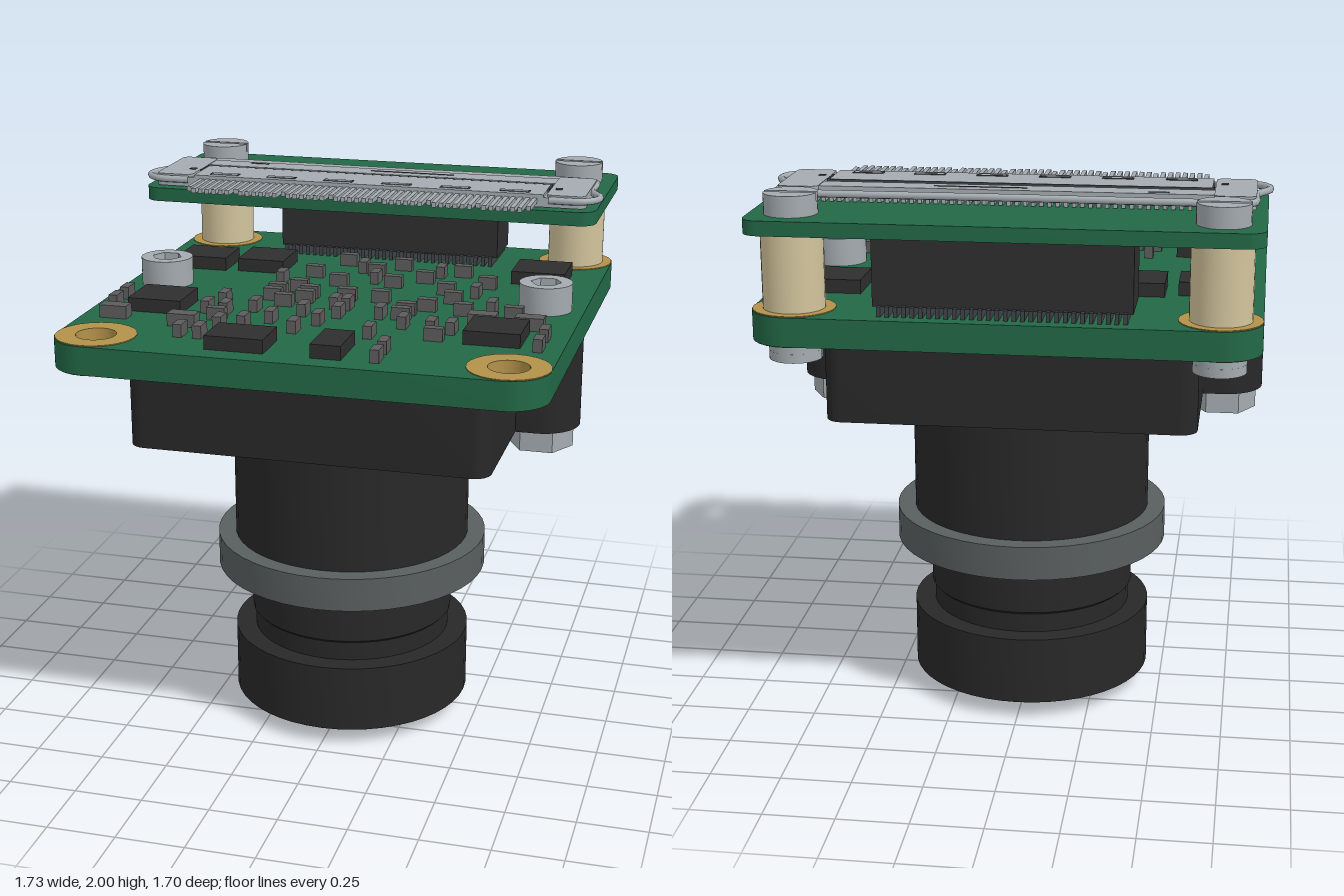
import * as THREE from 'three';
import { toCreasedNormals } from 'three/addons/utils/BufferGeometryUtils.js';

const mat = (name, color) => Object.assign(new THREE.MeshStandardMaterial({ color }), { name });

export function createModel() {
  const green = mat('board green', 0x226846);
  const black = mat('housing black', 0x282828);
  const chipBlack = mat('chip black', 0x2e2e2e);
  const grey = mat('component grey', 0x5c5c5c);
  const ringGrey = mat('ring grey', 0x595e5e);
  const metal = mat('metal', 0xa4abb0);
  const gold = mat('gold', 0xb3914a);
  gold.side = THREE.DoubleSide;
  const beige = mat('spacer beige', 0xd2c49c);
  const glass = mat('lens blue', 0x1c3850);
  const dark = mat('slot dark', 0x3f4346);

  const model = new THREE.Group();
  const add = (name, geo, material, x = 0, y = 0, z = 0, parent = model) => {
    const m = new THREE.Mesh(geo, material);
    m.name = name;
    m.position.set(x, y, z);
    parent.add(m);
    return m;
  };
  const box = (name, material, x0, x1, y0, y1, z0, z1, parent) =>
    add(name, new THREE.BoxGeometry(x1 - x0, y1 - y0, z1 - z0), material,
      (x0 + x1) / 2, (y0 + y1) / 2, (z0 + z1) / 2, parent);
  // Extrude upwards; shape y becomes -z
  const rise = (shape, h) => toCreasedNormals(
    new THREE.ExtrudeGeometry(shape, { depth: h, bevelEnabled: false, curveSegments: 12 }).rotateX(-Math.PI / 2), 0.6);
  const roundRect = (w, d, r) => {
    const s = new THREE.Shape();
    s.absarc(w - r, d - r, r, 0, Math.PI / 2);
    s.absarc(-w + r, d - r, r, Math.PI / 2, Math.PI);
    s.absarc(-w + r, -d + r, r, Math.PI, Math.PI * 1.5);
    s.absarc(w - r, -d + r, r, Math.PI * 1.5, Math.PI * 2);
    s.closePath();
    return s;
  };
  const circle = (r, x = 0, y = 0, C = THREE.Shape) => new C().absarc(x, y, r, 0, Math.PI * 2);
  const ngon = (r, n, C = THREE.Shape) => new C(Array.from({ length: n }, (_, i) =>
    new THREE.Vector2(r * Math.cos(i * 2 * Math.PI / n), r * Math.sin(i * 2 * Math.PI / n))));
  const lathe = pts => toCreasedNormals(
    new THREE.LatheGeometry(pts.map(p => new THREE.Vector2(...p)), 48), 0.5);

  // Lens: barrel, locking ring and domed front glass pointing down
  add('lensBarrel', lathe([[0.34, 0.1], [0.35, 0.07], [0.445, 0.07], [0.445, 0.32], [0.37, 0.32], [0.37, 0.39],
    [0.38, 0.4], [0.38, 0.6], [0.44, 0.6], [0.44, 1.2]]), black);
  add('lockingRing', lathe([[0.37, 0.58], [0.505, 0.58], [0.505, 0.705], [0.43, 0.705]]), ringGrey);
  add('lensGlass', lathe(Array.from({ length: 9 }, (_, i) => {
    const r = 0.35 * i / 8;
    return [r, 0.005 + 0.067 * (r / 0.35) ** 2];
  })), glass);

  // Lens holder with two side lugs
  add('lensHolder', rise(roundRect(0.64, 0.64, 0.06), 0.32), black, 0, 1.19);
  add('holderLugs', rise(roundRect(0.85, 0.14, 0.139), 0.32), black, 0, 1.19);

  // Boards
  const main = roundRect(0.85, 0.85, 0.14);
  for (const x of [-0.71, 0.71]) main.holes.push(circle(0.07, x, -0.705, THREE.Path));
  add('mainBoard', rise(main, 0.1), green, 0, 1.51);
  add('upperBoard', rise(roundRect(0.85, 0.35, 0.06), 0.05), green, 0, 1.88, -0.5);

  // Gold mounting pads and plated holes
  const pad = circle(0.14);
  pad.holes.push(circle(0.07, 0, 0, THREE.Path));
  const padGeo = rise(pad, 0.004);
  for (const x of [-0.71, 0.71]) {
    for (const z of [-0.705, 0.705])
      for (const y of [1.507, 1.609]) add('mountingPad', padGeo, gold, x, y, z);
    add('platedHole', new THREE.CylinderGeometry(0.069, 0.069, 0.102, 24, 1, true), gold, x, 1.56, 0.705);
  }

  // Slotted screw head: disc with two half-round segments beside the slot
  const slottedHead = () => {
    const g = new THREE.Group();
    g.name = 'slottedScrew';
    add('headDisc', new THREE.CylinderGeometry(0.09, 0.09, 0.04, 28), metal, 0, 0.02, 0, g);
    const a = Math.asin(0.01 / 0.09);
    for (const turn of [0, Math.PI])
      add('headHalf', rise(new THREE.Shape().absarc(0, 0, 0.09, a, Math.PI - a), 0.031),
        metal, 0, 0.04, 0, g).rotation.y = turn;
    model.add(g);
    return g;
  };
  // Socket cap screw and hex nut shapes
  const cap = circle(0.095);
  cap.holes.push(ngon(0.055, 6, THREE.Path));
  const nut = ngon(0.118, 6);
  nut.holes.push(circle(0.05, 0, 0, THREE.Path));
  for (const x of [-0.71, 0.71]) {
    add('spacer', new THREE.CylinderGeometry(0.105, 0.105, 0.27, 28), beige, x, 1.745, -0.705);
    slottedHead().position.set(x, 1.93, -0.705);
    const under = slottedHead();
    under.position.set(x, 1.51, -0.705);
    under.rotation.x = Math.PI;
    add('capScrew', rise(cap, 0.1), metal, x, 1.61, 0);
    add('capSocketFloor', new THREE.CylinderGeometry(0.06, 0.06, 0.04, 16), metal, x, 1.63, 0);
    add('hexNut', rise(nut, 0.085), metal, x, 1.107, 0);
    add('boltEnd', new THREE.CylinderGeometry(0.05, 0.035, 0.07, 16), metal, x, 1.155, 0);
  }

  // Stacking connector between the boards, with solder pins along both sides
  box('stackingConnector', chipBlack, -0.43, 0.43, 1.64, 1.88, -0.78, -0.55);
  for (let i = 0; i < 30; i++) {
    const x = -0.406 + i * 0.028;
    box('stackingPin', dark, x - 0.007, x + 0.007, 1.61, 1.645, -0.8, -0.53);
  }

  // Chips: x, z, width, depth
  for (const [x, z, w, d] of [[-0.615, 0.305, 0.195, 0.19], [0.61, 0.4, 0.195, 0.185], [-0.2, 0.69, 0.205, 0.16],
    [0.115, 0.68, 0.105, 0.185], [-0.65, -0.3, 0.19, 0.17], [-0.42, -0.32, 0.18, 0.19], [0.63, -0.4, 0.2, 0.19]])
    box('chip', chipBlack, x - w / 2, x + w / 2, 1.61, 1.658, z - d / 2, z + d / 2);

  // Small components: x and z pairs in hundredths
  const scatter = (list, w, d) => {
    const geo = new THREE.BoxGeometry(w, 0.045, d);
    for (let i = 0; i < list.length; i += 2)
      add('component', geo, grey, list[i] / 100, 1.6325, list[i + 1] / 100);
  };
  scatter([-26, 6, -14, 6, 0, 6, 12.5, 6, -26, 12.5, -14, 12.5, -20, 19, -20, -1, 38, 1, 31, 12.5, 44.5, 15, 25, 19,
    24.5, 25.5, 62.5, 15, -37.5, 42, 41, 47, -8, -12, 12, -15, 33, -10, 22, -24, 46, -22, 2, -30, -20, -22, 34, -36,
    10, -40, -12, -42], 0.066, 0.034);
  scatter([53.5, 8.5, -1.5, 17, 3, 17, -41.5, 21, -28, 27.5, -10, 28.5, 2.5, 27.5, 17, 25, -44, 33, -37, 33.5, -18.5, 39.5,
    -2, 38, 27.5, 34.5, 38, 37, 45, 37, 77, 37, 77, 49, -78, 23, -78, 34, -26, 47.5, -33.5, 51, -7.5, 49, 19, 48.5,
    -43.5, 63, -36.5, 63, 28, 64, 28, 74, -30, -12, 44, -10, 4, -20, -4, -34, 26, -34], 0.032, 0.066);
  scatter([53.5, 25.7, 70, 25.7, -73, 47.5, -46.5, 51.5], 0.1, 0.055);

  // Cable connector: shell, raised cover, end blocks
  const conn = new THREE.Group();
  conn.name = 'cableConnector';
  model.add(conn);
  add('shell', rise(roundRect(0.8, 0.145, 0.03), 0.035), metal, 0, 1.935, -0.325, conn);
  box('cover', metal, -0.66, 0.66, 1.95, 1.98, -0.36, -0.18, conn);
  box('rearRail', metal, -0.79, 0.79, 1.95, 1.978, -0.475, -0.385, conn);
  for (const s of [-1, 1]) {
    add('endBlock', rise(roundRect(0.07, 0.16, 0.025), 0.045), metal, s * 0.74, 1.935, -0.34, conn);
    box('endSeam', dark, s * 0.663 - 0.004, s * 0.663 + 0.004, 1.97, 1.982, -0.36, -0.27, conn);
    box('endMark', dark, s * 0.7 - 0.012, s * 0.7 + 0.012, 1.975, 1.982, -0.3, -0.275, conn);
  }
  box('coverSeam', dark, -0.66, 0.66, 1.97, 1.9805, -0.362, -0.355, conn);
  box('railSlot', dark, -0.04, 0.28, 1.97, 1.98, -0.434, -0.428, conn);
  box('railSlot', dark, -0.52, -0.45, 1.97, 1.98, -0.452, -0.446, conn);
  // Latch windows drawn as thin outlines
  for (let i = 0; i < 6; i++) {
    const x = -0.55 + i * 0.22;
    box('latchWindow', dark, x - 0.055, x + 0.055, 1.975, 1.982, -0.235, -0.206, conn);
    box('latchTab', metal, x - 0.049, x + 0.049, 1.976, 1.983, -0.229, -0.206, conn);
  }
  // Contact rows
  for (let i = 0; i < 50; i++) {
    const x = -0.63 + i * 1.26 / 49;
    box('cableContact', metal, x - 0.008, x + 0.008, 1.95, 1.967, -0.19, i % 7 ? -0.012 : -0.04, conn);
    box('rearContact', metal, x * 1.07 - 0.007, x * 1.07 + 0.007, 1.932, 1.955, -0.51, -0.46, conn);
  }
  // Wire bail around the back and both ends
  const half = [[0.76, -0.525], [0.8, -0.515], [0.81, -0.47], [0.81, -0.36], [0.852, -0.27], [0.845, -0.22],
    [0.8, -0.18], [0.68, -0.175]];
  const path = [...half.map(([x, z]) => [-x, z]).reverse(), [0, -0.525], ...half]
    .map(([x, z]) => new THREE.Vector3(x, 1.962, z));
  add('wireBail', new THREE.TubeGeometry(new THREE.CatmullRomCurve3(path, false, 'centripetal'), 120, 0.013, 8),
    metal, 0, 0, 0, conn);

  return model;
}
